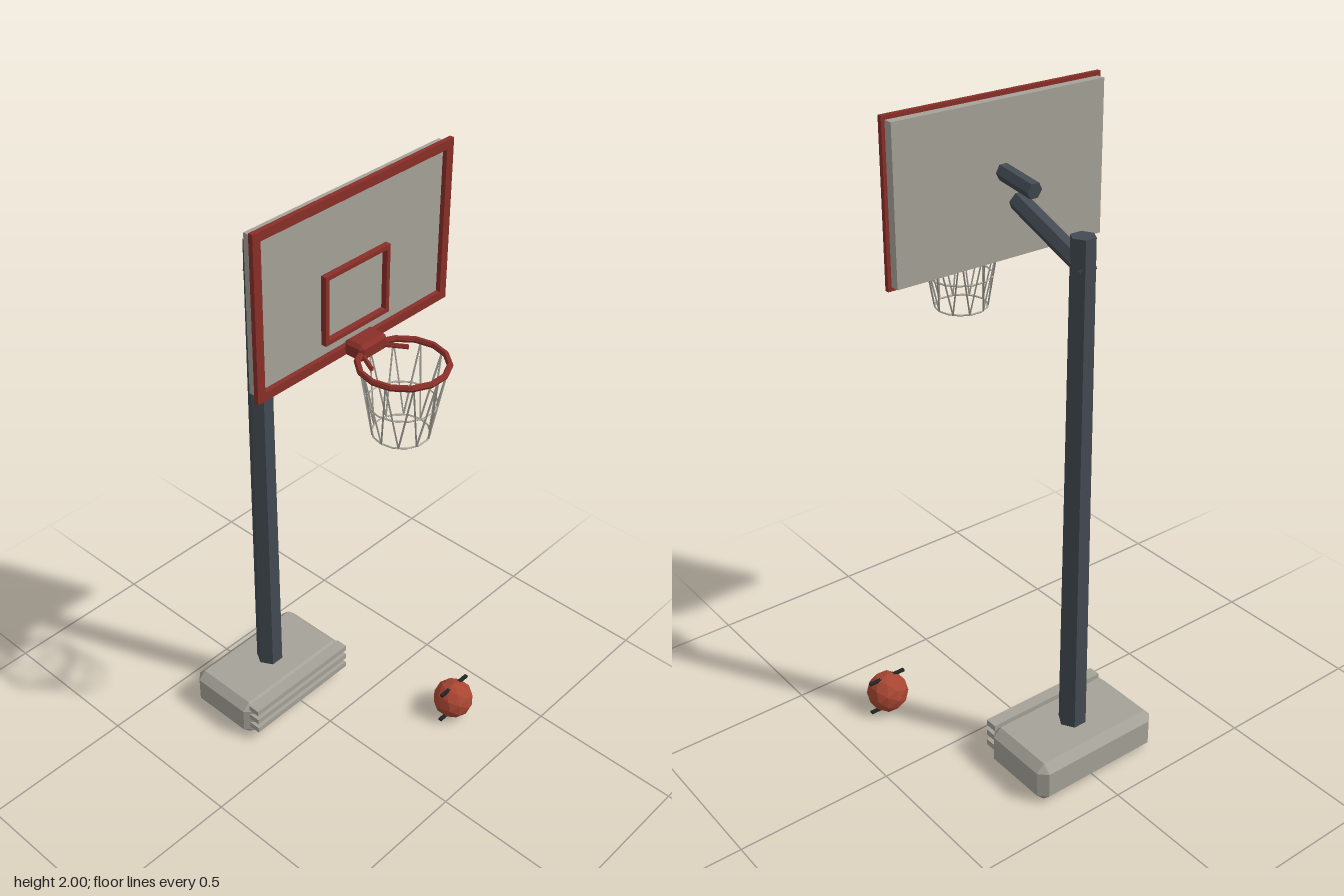
import * as THREE from 'three';
import { ConvexGeometry } from 'three/addons/geometries/ConvexGeometry.js';

const mat = (color) => new THREE.MeshStandardMaterial({ color, flatShading: true });
const V = (x, y, z) => new THREE.Vector3(x, y, z);

export function createModel() {
  const steel = mat(0x434a52), red = mat(0x8a2f28), grey = mat(0xa5a298);
  const orange = mat(0xa84632), black = mat(0x222222);
  const model = new THREE.Group();
  model.name = 'basketballHoop';
  const hoop = new THREE.Group();
  hoop.name = 'hoopStand';
  hoop.position.x = -0.014;
  model.add(hoop);

  const add = (name, geometry, material, parent = hoop) => {
    const mesh = new THREE.Mesh(geometry, material);
    mesh.name = name;
    parent.add(mesh);
    return mesh;
  };
  const box = (name, size, pos, material, parent) => {
    const mesh = add(name, new THREE.BoxGeometry(...size), material, parent);
    mesh.position.set(...pos);
    return mesh;
  };
  // Straight rod between two points
  const rod = (name, a, b, r0, r1, sides, material, parent) => {
    const g = new THREE.CylinderGeometry(r1, r0, a.distanceTo(b), sides).rotateY(Math.PI / 2);
    const mesh = add(name, g, material, parent);
    mesh.position.copy(a).lerp(b, 0.5);
    mesh.quaternion.setFromUnitVectors(V(0, 1, 0), b.clone().sub(a).normalize());
    return mesh;
  };
  // Box with every edge cut by c
  const chamferBox = (name, [w, h, d], pos, c, material) => {
    const pts = [];
    for (const x of [-1, 1]) for (const y of [-1, 1]) for (const z of [-1, 1]) {
      for (let k = 0; k < 3; k++) {
        pts.push(V(x * (w / 2 - (k === 0 ? 0 : c)), y * (h / 2 - (k === 1 ? 0 : c)), z * (d / 2 - (k === 2 ? 0 : c))));
      }
    }
    add(name, new ConvexGeometry(pts), material).position.set(...pos);
  };
  const ring = (name, radius, tube, y, sides, tubeSides, material, parent) => {
    const mesh = add(name, new THREE.TorusGeometry(radius, tube, tubeSides, sides).rotateX(Math.PI / 2), material, parent);
    mesh.position.set(0, y, 0.272);
  };
  // Rectangular outline made of four bars
  const frame = (name, w, h, y, z, bar, depth) => {
    const g = new THREE.Group();
    g.name = name;
    hoop.add(g);
    for (const s of [-1, 1]) {
      box('sideBar', [bar, h, depth], [s * (w - bar) / 2, y, z], red, g);
      box('crossBar', [w - 2 * bar, bar, depth], [0, y + s * (h - bar) / 2, z], red, g);
    }
  };

  // Weighted base with front ribs
  chamferBox('base', [0.45, 0.135, 0.262], [0, 0.0675, -0.269], 0.026, grey);
  for (const y of [0.05, 0.088, 0.126]) box('baseRib', [0.42, 0.02, 0.04], [0, y, -0.13], grey);

  // Pole and arms
  rod('pole', V(0, 0.12, -0.267), V(0, 1.705, -0.267), 0.044, 0.036, 6, steel);
  rod('lowerArm', V(0, 1.615, -0.29), V(0, 1.728, 0.005), 0.029, 0.029, 6, steel);
  rod('upperArm', V(0, 1.771, -0.068), V(0, 1.791, 0.075), 0.025, 0.025, 6, steel);

  // Backboard, border and target square
  box('backboard', [0.71, 0.452, 0.028], [0, 1.762, 0.082], grey);
  frame('backboardBorder', 0.732, 0.476, 1.762, 0.103, 0.026, 0.014);
  frame('targetSquare', 0.244, 0.202, 1.686, 0.104, 0.012, 0.018);

  // Rim, bracket and braces
  chamferBox('rimBracket', [0.104, 0.05, 0.066], [0, 1.55, 0.141], 0.01, red);
  ring('rim', 0.12, 0.009, 1.549, 14, 6, red);
  for (const s of [-1, 1]) {
    rod('rimBrace', V(s * 0.036, 1.542, 0.16), V(s * 0.073, 1.545, 0.227), 0.007, 0.007, 5, red);
  }

  // Net
  const net = new THREE.Group();
  net.name = 'net';
  hoop.add(net);
  const n = 10;
  const at = (i, r, y) => {
    const a = (i / n) * Math.PI * 2;
    return V(Math.cos(a) * r, y, 0.272 + Math.sin(a) * r);
  };
  for (let i = 0; i < n; i++) {
    for (const s of [-0.5, 0.5]) {
      rod('netStrand', at(i, 0.079, 1.333), at(i + s, 0.117, 1.545), 0.003, 0.003, 4, grey, net);
    }
  }
  ring('netMiddleRing', 0.095, 0.003, 1.43, 14, 4, grey, net);
  ring('netBottomRing', 0.079, 0.003, 1.333, 14, 4, grey, net);

  // Ball with seam strips
  const ball = new THREE.Group();
  ball.name = 'ball';
  ball.position.set(0.311, 0.068, 0.27);
  model.add(ball);
  add('ballBody', new THREE.IcosahedronGeometry(0.067, 1), orange, ball);
  for (const s of [-1, 1]) box('ballSeam', [0.13, 0.007, 0.012], [0, s * 0.056, 0], black, ball);

  return model;
}
